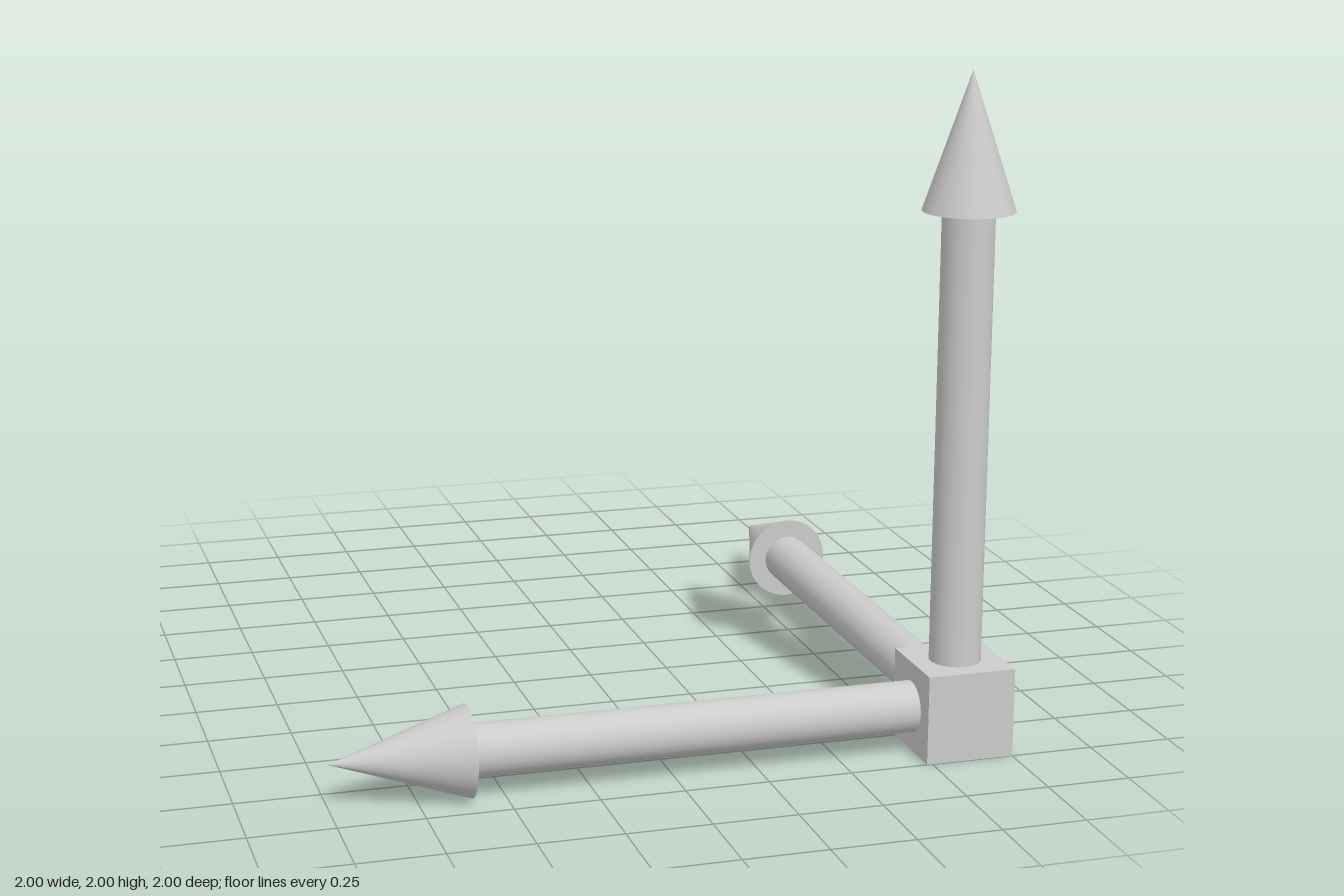
import * as THREE from 'three';

const CUBE = 0.267;           // corner block side, also the arrowhead diameter
const SHAFT_RADIUS = 0.076;
const HEAD_START = 1.467;     // distances from the block's centre
const TIP = 1.867;
const SIDES = 48;

const material = new THREE.MeshStandardMaterial({ color: 0xcccccc });

function addMesh(parent, name, geometry, y = 0) {
  const mesh = new THREE.Mesh(geometry, material);
  mesh.name = name;
  mesh.position.y = y;
  parent.add(mesh);
}

// One arrow pointing along +y from the block's centre
function createArrow(name) {
  const arrow = new THREE.Group();
  arrow.name = name;
  const shaft = new THREE.CylinderGeometry(SHAFT_RADIUS, SHAFT_RADIUS, HEAD_START, SIDES);
  addMesh(arrow, 'shaft', shaft, HEAD_START / 2);
  const head = new THREE.ConeGeometry(CUBE / 2, TIP - HEAD_START, SIDES);
  addMesh(arrow, 'arrowhead', head, (HEAD_START + TIP) / 2);
  return arrow;
}

export function createModel() {
  const model = new THREE.Group();
  model.name = 'axisArrows';

  // Corner block
  const assembly = new THREE.Group();
  assembly.name = 'assembly';
  assembly.position.set(1 - CUBE / 2, CUBE / 2, 1 - CUBE / 2);
  addMesh(assembly, 'cornerBlock', new THREE.BoxGeometry(CUBE, CUBE, CUBE));

  // Arrows pointing up, right (-x) and back (-z)
  const up = createArrow('upArrow');
  const right = createArrow('rightArrow');
  right.rotation.z = Math.PI / 2;
  const back = createArrow('backArrow');
  back.rotation.x = -Math.PI / 2;
  assembly.add(up, right, back);

  model.add(assembly);
  return model;
}
